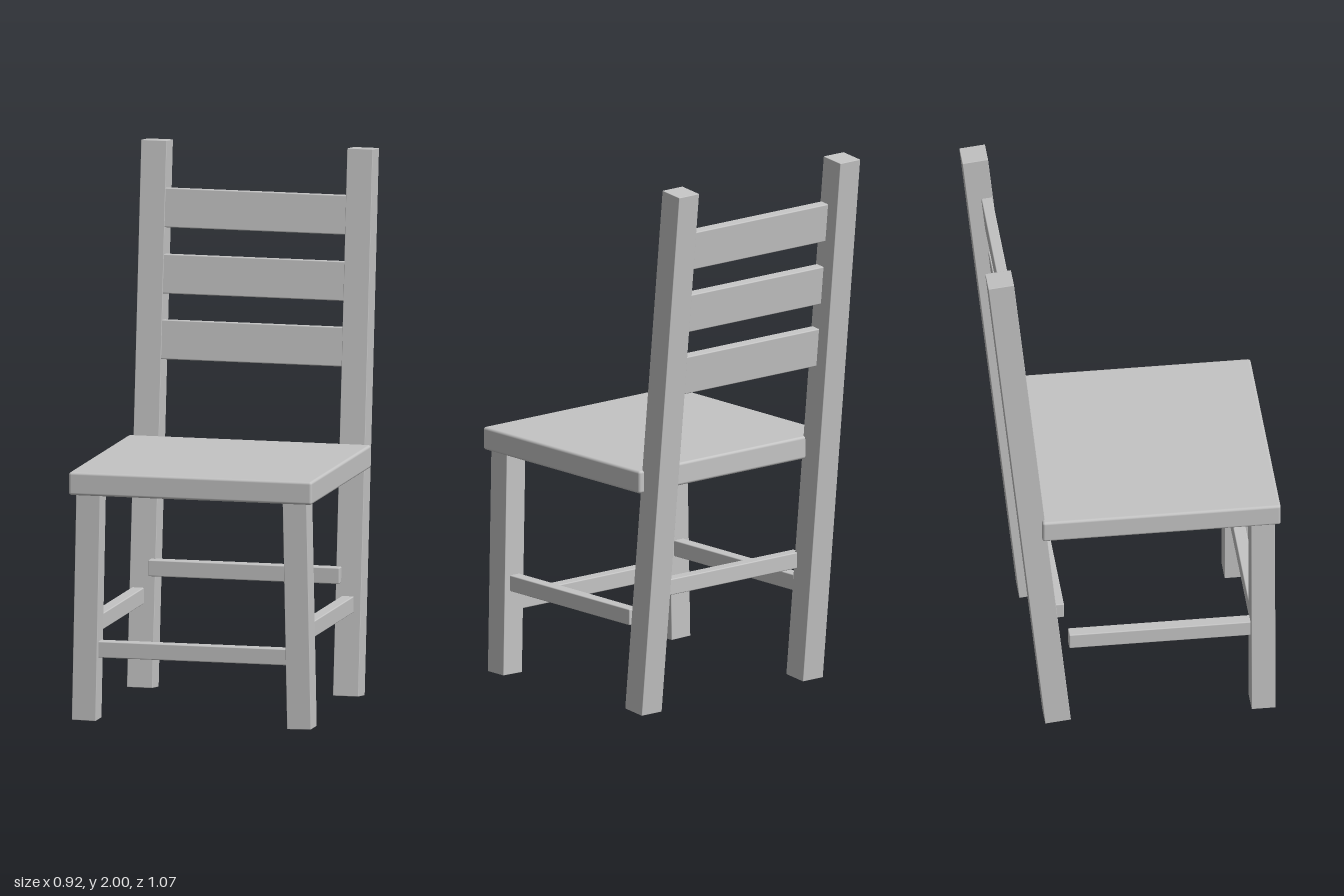
import * as THREE from 'three';
import { RoundedBoxGeometry } from 'three/addons/geometries/RoundedBoxGeometry.js';

export function createModel() {
  const chair = new THREE.Group();
  chair.name = 'chair';
  const wood = new THREE.MeshStandardMaterial({ color: 0xc4c4c4 });
  wood.name = 'grey wood';

  // Box with slightly eased edges
  function bar(name, w, h, d, x, y, z, parent = chair, radius = 0.004) {
    const mesh = new THREE.Mesh(new RoundedBoxGeometry(w, h, d, 2, radius), wood);
    mesh.name = name;
    mesh.position.set(x, y, z);
    parent.add(mesh);
    return mesh;
  }

  // Seat board
  bar('seat', 0.916, 0.085, 0.876, 0, 0.883, 0.098, chair, 0.01);

  // Reclined back frame: posts that run to the floor, and three slats
  const back = new THREE.Group();
  back.name = 'backFrame';
  back.position.set(0, 1, -0.385);
  back.rotation.x = -THREE.MathUtils.degToRad(6);
  chair.add(back);
  for (const y of [0.274, 0.514, 0.756]) {
    bar('backSlat', 0.69, 0.144, 0.04, 0, y, 0.024, back);
  }

  for (const [side, s] of [['left', 1], ['right', -1]]) {
    bar(side + 'BackPost', 0.096, 2.001, 0.095, s * 0.388, 0, 0, back, 0.002);

    // Front legs splay slightly outward
    const leg = bar(side + 'FrontLeg', 0.09, 0.84, 0.088, s * 0.397, 0.427, 0.473, chair, 0.002);
    leg.rotation.z = s * 0.02;

    // Side stretchers
    bar(side + 'Stretcher', 0.046, 0.06, 0.68, s * 0.395, 0.35, 0.103);
  }

  // Cross stretchers
  bar('frontStretcher', 0.74, 0.06, 0.046, 0, 0.268, 0.473);
  bar('backStretcher', 0.72, 0.06, 0.046, 0, 0.45, -0.272);

  return chair;
}
